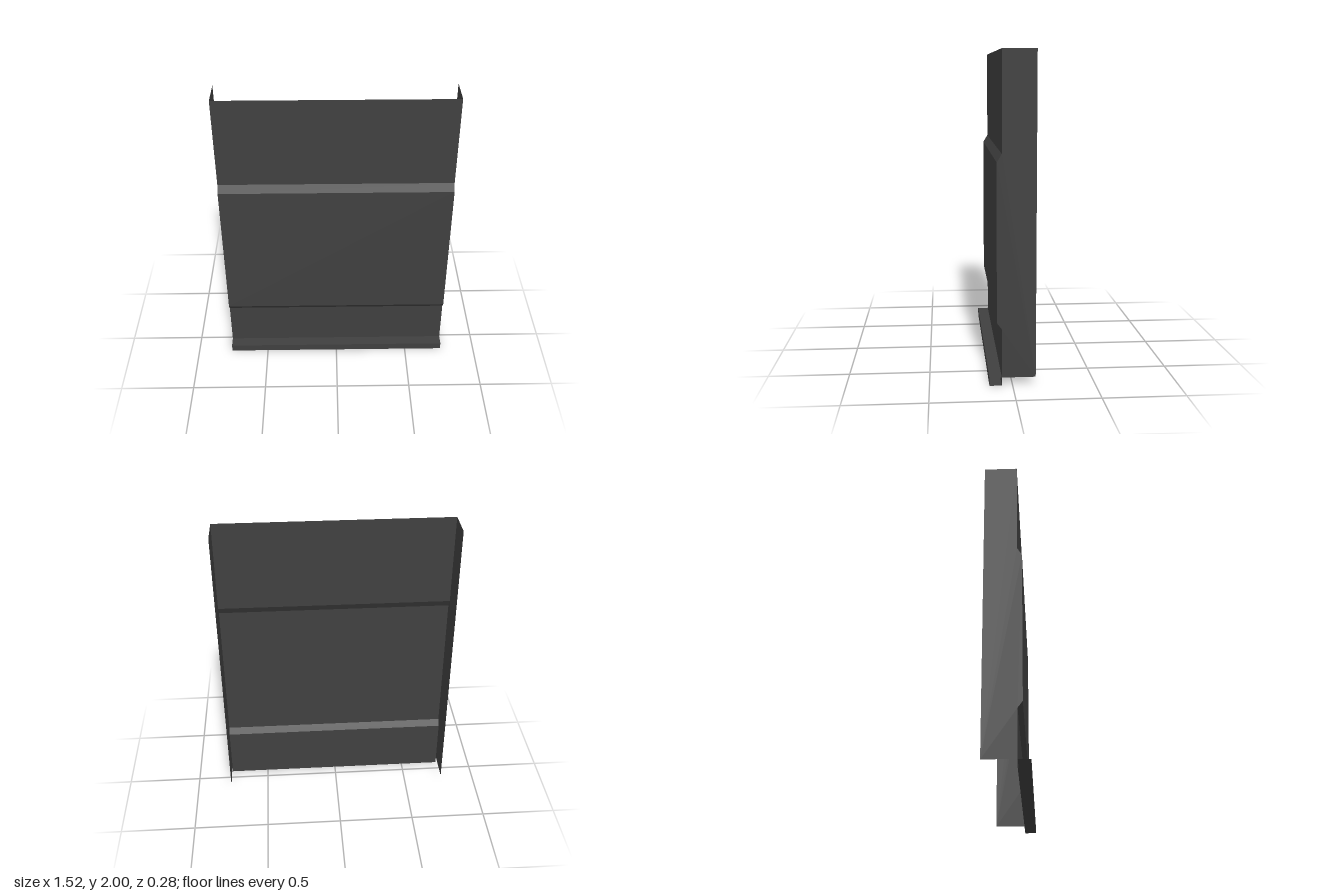
import * as THREE from 'three';

const HALF = 0.76;
const BACK = -0.14, FACE = 0.065, BULGE = 0.095, LIP = 0.14;
const SILL = 0.05, TOP = 2;

// Folded sheet: a [z, y] profile carried straight across the width
function foldedSheet(profile) {
  const pos = [];
  for (let i = 0; i < profile.length - 1; i++) {
    const [z0, y0] = profile[i];
    const [z1, y1] = profile[i + 1];
    const a = [-HALF, y0, z0], b = [HALF, y0, z0];
    const c = [HALF, y1, z1], d = [-HALF, y1, z1];
    pos.push(...a, ...b, ...c, ...a, ...c, ...d);
  }
  const geo = new THREE.BufferGeometry();
  geo.setAttribute('position', new THREE.Float32BufferAttribute(pos, 3));
  geo.computeVertexNormals();
  return geo;
}

export function createModel() {
  const group = new THREE.Group();
  const metal = new THREE.MeshStandardMaterial({
    color: 0x404040, side: THREE.DoubleSide, flatShading: true,
  });
  const add = (name, geo) => {
    const mesh = new THREE.Mesh(geo, metal);
    mesh.name = name;
    group.add(mesh);
    return mesh;
  };

  // Main sheet with its raised middle band
  const profile = [
    [FACE, SILL], [FACE, 0.35], [BULGE, 0.39],
    [BULGE, 1.35], [FACE, 1.4], [FACE, TOP],
  ];
  add('panel', foldedSheet(profile));

  // Hollow sill along the foot, open at both ends
  add('sill', foldedSheet([
    [FACE, SILL], [FACE, 0], [LIP, 0], [LIP, SILL], [FACE, SILL],
  ]));

  // Side flanges follow the panel profile and run straight at the back
  const outline = [[BACK, SILL], ...profile, [BACK, TOP]];
  const shape = new THREE.Shape(outline.map(([z, y]) => new THREE.Vector2(z, y)));
  for (const [name, side] of [['leftFlange', 1], ['rightFlange', -1]]) {
    const flange = add(name, new THREE.ShapeGeometry(shape).rotateY(-Math.PI / 2));
    // Mirror the face so that it looks outward on both sides
    flange.scale.x = -side;
    if (side > 0) flange.geometry.setIndex([...flange.geometry.index.array].reverse());
    flange.geometry.computeVertexNormals();
    flange.scale.x = 1;
    flange.position.x = side * HALF;
  }

  return group;
}
